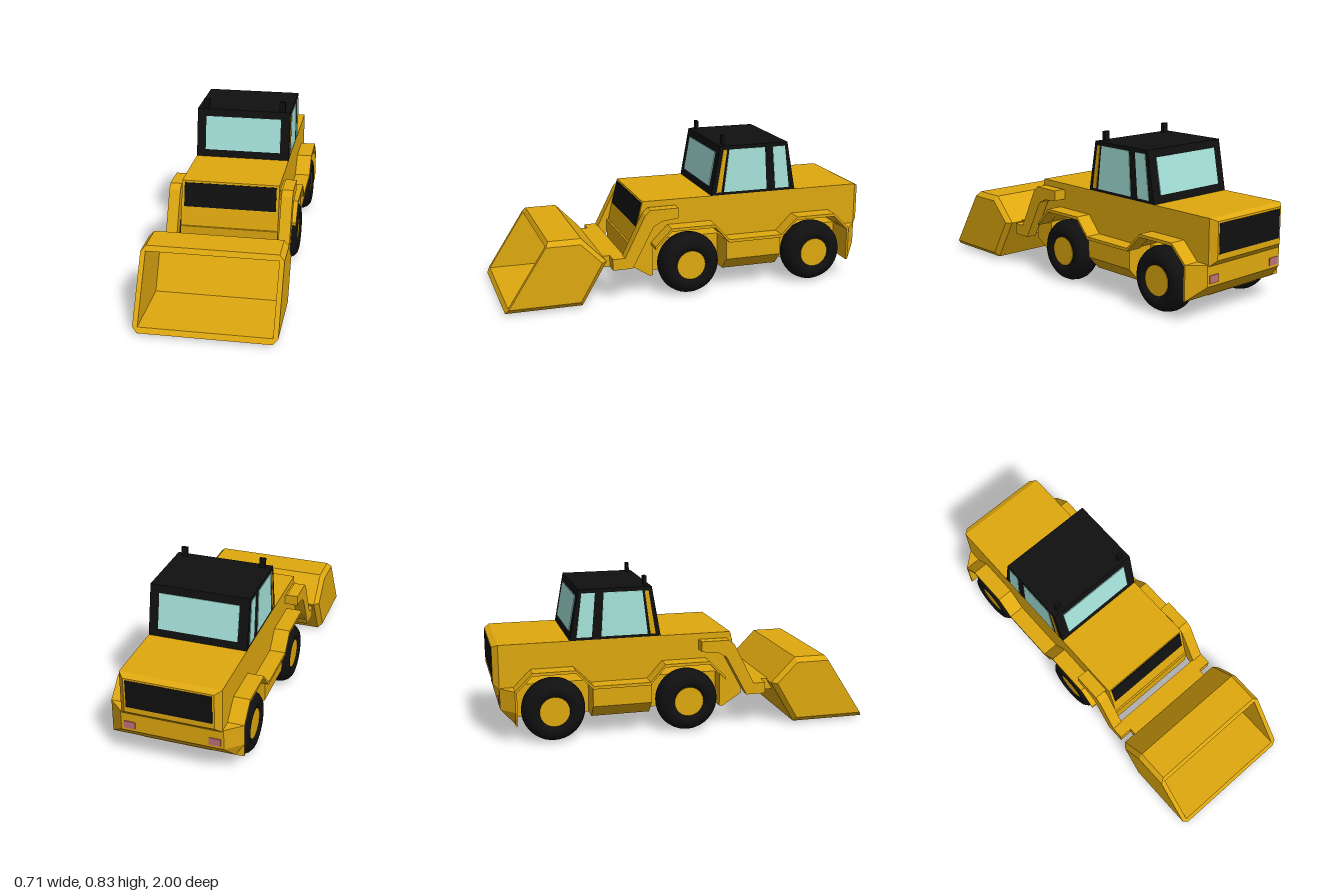
import * as THREE from 'three';

const paint = (color, flatShading = true) =>
  new THREE.MeshStandardMaterial({ color, flatShading });
const yellow = paint(0xdfa80f);
const black = paint(0x101010);
const rubber = paint(0x101010, false);
const glass = paint(0xa6e4dc);
const pink = paint(0xc07078);

export function createModel() {
  const model = new THREE.Group();

  const add = (name, geometry, material, parent = model) => {
    const mesh = new THREE.Mesh(geometry, material);
    mesh.name = name;
    parent.add(mesh);
    return mesh;
  };

  // Side profile of [z, y] points, extruded from x0 to x1
  const extrudeX = (points, x0, x1) => {
    const shape = new THREE.Shape(points.map(([z, y]) => new THREE.Vector2(z, y)));
    return new THREE.ExtrudeGeometry(shape, { depth: x1 - x0, bevelEnabled: false })
      .rotateY(-Math.PI / 2).translate(x1, 0, 0);
  };

  const box = (x0, x1, y0, y1, z0, z1) => new THREE.BoxGeometry(x1 - x0, y1 - y0, z1 - z0)
    .translate((x0 + x1) / 2, (y0 + y1) / 2, (z0 + z1) / 2);

  // Skin over convex rings, counter-clockwise seen from the last ring's side
  const loft = (rings, closed = true) => {
    const out = [];
    const n = rings[0].length;
    for (let i = 0; i + 1 < rings.length; i++) {
      for (let j = 0; j < (closed ? n : n - 1); j++) {
        const k = (j + 1) % n;
        const [a, b, c, d] = [rings[i][j], rings[i][k], rings[i + 1][k], rings[i + 1][j]];
        out.push(...a, ...b, ...c, ...a, ...c, ...d);
      }
    }
    const first = rings[0], last = rings[rings.length - 1];
    for (let j = 1; j + 1 < n; j++) {
      out.push(...first[0], ...first[j + 1], ...first[j]);
      out.push(...last[0], ...last[j], ...last[j + 1]);
    }
    const g = new THREE.BufferGeometry();
    g.setAttribute('position', new THREE.Float32BufferAttribute(out, 3));
    g.computeVertexNormals();
    return g;
  };

  // Thin panel lying along the slope between two [z, y] points
  const panel = (name, material, width, [z0, y0], [z1, y1]) => {
    const m = add(name, new THREE.BoxGeometry(width, Math.hypot(z1 - z0, y1 - y0), 0.008), material);
    m.position.set(0, (y0 + y1) / 2, (z0 + z1) / 2);
    m.rotation.x = Math.atan2(z1 - z0, y1 - y0);
  };

  // Upper body with wheel arches cut through it
  add('upperBody', extrudeX([
    [0.255, 0.515], [-0.97, 0.515], [-0.97, 0.28], [-0.89, 0.28], [-0.81, 0.365],
    [-0.59, 0.365], [-0.5, 0.28], [-0.2, 0.28], [-0.12, 0.365], [0.12, 0.365],
    [0.21, 0.28], [0.31, 0.28], [0.29, 0.37],
  ], -0.26, 0.26), yellow);
  const tailRing = (z, hx, y0, y1) => [[hx, y0, z], [hx, y1, z], [-hx, y1, z], [-hx, y0, z]];
  add('tail', loft([tailRing(-1, 0.23, 0.31, 0.5), tailRing(-0.97, 0.26, 0.28, 0.515)]), yellow);
  panel('frontGrille', black, 0.49, [0.287, 0.38], [0.258, 0.505]);
  panel('rearGrille', black, 0.44, [-0.998, 0.34], [-0.998, 0.49]);

  // Chassis, front block, side skirts and rear bumper
  add('chassis', box(-0.18, 0.18, 0.106, 0.28, -0.9, 0.22), yellow);
  add('frontBlock', extrudeX([[0.2, 0.28], [0.2, 0.106], [0.22, 0.106], [0.32, 0.17], [0.32, 0.28]],
    -0.26, 0.26), yellow);
  const skirtRing = (y, hx) => [[hx, y, -0.19], [hx, y, -0.5], [-hx, y, -0.5], [-hx, y, -0.19]];
  add('sideSkirts', loft([skirtRing(0.106, 0.26), skirtRing(0.175, 0.325), skirtRing(0.28, 0.325)]), yellow);
  const bumperRing = (y, back, hx) => [
    [0.345, y, -0.89], [0.345, y, -0.9], [hx, y, back],
    [-hx, y, back], [-0.345, y, -0.9], [-0.345, y, -0.89],
  ];
  add('rearBumper', loft([bumperRing(0.11, -0.902, 0.3), bumperRing(0.18, -0.97, 0.265),
    bumperRing(0.29, -0.97, 0.265)]), yellow);

  // Cab with sloped front and back
  add('cab', extrudeX([[-0.125, 0.515], [-0.172, 0.78], [-0.555, 0.78], [-0.605, 0.515]], -0.26, 0.26), black);
  panel('windshield', glass, 0.42, [-0.131, 0.555], [-0.164, 0.74]);
  panel('rearWindow', glass, 0.42, [-0.598, 0.555], [-0.563, 0.74]);

  const fenderLine = [[0.21, 0.29], [0.12, 0.38], [-0.12, 0.38], [-0.2, 0.29], [-0.5, 0.29],
    [-0.59, 0.38], [-0.81, 0.38], [-0.9, 0.29]];
  const fenderLoop = [...fenderLine, ...fenderLine.map(([z, y]) => [z, y - 0.016]).reverse()];
  const sidePanes = [
    ['doorWindow', glass, [[-0.195, 0.53], [-0.222, 0.76], [-0.425, 0.76], [-0.44, 0.53]]],
    ['rearSideWindow', glass, [[-0.49, 0.53], [-0.47, 0.76], [-0.54, 0.76], [-0.57, 0.53]]],
    ['pillarStripe', yellow, [[-0.153, 0.53], [-0.19, 0.76], [-0.21, 0.76], [-0.18, 0.53]]],
  ];
  const armProfile = [[0.37, 0.24], [0.26, 0.46], [0.23, 0.485], [0.08, 0.485], [0.08, 0.43],
    [0.17, 0.42], [0.215, 0.395], [0.33, 0.18], [0.37, 0.18]];

  // Parts found on both sides
  for (const s of [1, -1]) {
    const side = s > 0 ? 'left' : 'right';
    const slab = (points, a, b) => extrudeX(points, Math.min(s * a, s * b), Math.max(s * a, s * b));
    const block = (a, b, ...rest) => box(Math.min(s * a, s * b), Math.max(s * a, s * b), ...rest);

    add(side + 'Fender', slab(fenderLoop, 0.255, 0.345), yellow);
    for (const [name, material, points] of sidePanes) {
      add(side + name, slab(points, 0.255, 0.263), material);
    }
    add(side + 'RoofPost', block(0.197, 0.229, 0.77, 0.83, -0.21, -0.193), black);
    add(side + 'TailLight', block(0.19, 0.25, 0.195, 0.235, -0.974, -0.96), pink);
    add(side + 'LiftArm', slab(armProfile, 0.27, 0.33), yellow);
    add(side + 'ArmPin', block(0.25, 0.28, 0.43, 0.48, 0.08, 0.23), yellow);

    // Wheels: rounded tyre, hub and axle
    for (const [end, z] of [['Front', 0.01], ['Rear', -0.7]]) {
      const wheel = new THREE.Group();
      wheel.name = side + end + 'Wheel';
      wheel.position.set(s * 0.27, 0.166, z);
      wheel.rotation.y = s * Math.PI / 2;
      add('tyre', new THREE.TorusGeometry(0.11, 0.056, 16, 40).scale(1, 1, 1.35), rubber, wheel);
      add('hub', new THREE.CylinderGeometry(0.078, 0.078, 0.128, 24).rotateX(Math.PI / 2), yellow, wheel);
      add('axle', new THREE.CylinderGeometry(0.05, 0.05, 0.1, 16).rotateX(Math.PI / 2)
        .translate(0, 0, -0.08), yellow, wheel);
      model.add(wheel);
    }
  }

  // Cross bar and bucket mount
  add('crossBar', box(-0.33, 0.33, 0.18, 0.24, 0.365, 0.435), yellow);
  add('bucketMount', box(-0.26, 0.26, 0.18, 0.24, 0.43, 0.5), yellow);

  // Bucket: chamfered outer shell, inner cavity and sloped rim
  const bucket = new THREE.Group();
  bucket.name = 'bucket';
  model.add(bucket);
  const outer = [[1, 0.01], [0.6, 0.01], [0.468, 0.235], [0.6, 0.37], [0.77, 0.37]];
  const inset = [[0.984, 0.035], [0.612, 0.035], [0.497, 0.235], [0.608, 0.345], [0.786, 0.345]];
  const at = (x, points) => points.map(([z, y]) => [x, y, z]);
  add('bucketShell', loft([at(-0.355, inset), at(-0.33, outer), at(0.33, outer), at(0.355, inset)], false),
    yellow, bucket);
  const cavity = [...inset].reverse();
  add('bucketCavity', loft([at(-0.33, cavity), at(0.33, cavity)], false), yellow, bucket);
  const h = Math.hypot(0.23, 0.36), c = 0.0297;
  const v2 = (x, y) => new THREE.Vector2(x, y);
  const rim = new THREE.Shape([
    v2(-0.33, 0), v2(0.33, 0), v2(0.355, c), v2(0.355, h - c),
    v2(0.33, h), v2(-0.33, h), v2(-0.355, h - c), v2(-0.355, c),
  ]);
  rim.holes.push(new THREE.Path([v2(-0.33, c), v2(-0.33, h - c), v2(0.33, h - c), v2(0.33, c)]));
  const rimMesh = add('bucketRim', new THREE.ShapeGeometry(rim), yellow, bucket);
  rimMesh.position.set(0, 0.01, 1);
  rimMesh.rotation.x = -Math.atan2(0.23, 0.36);

  return model;
}
